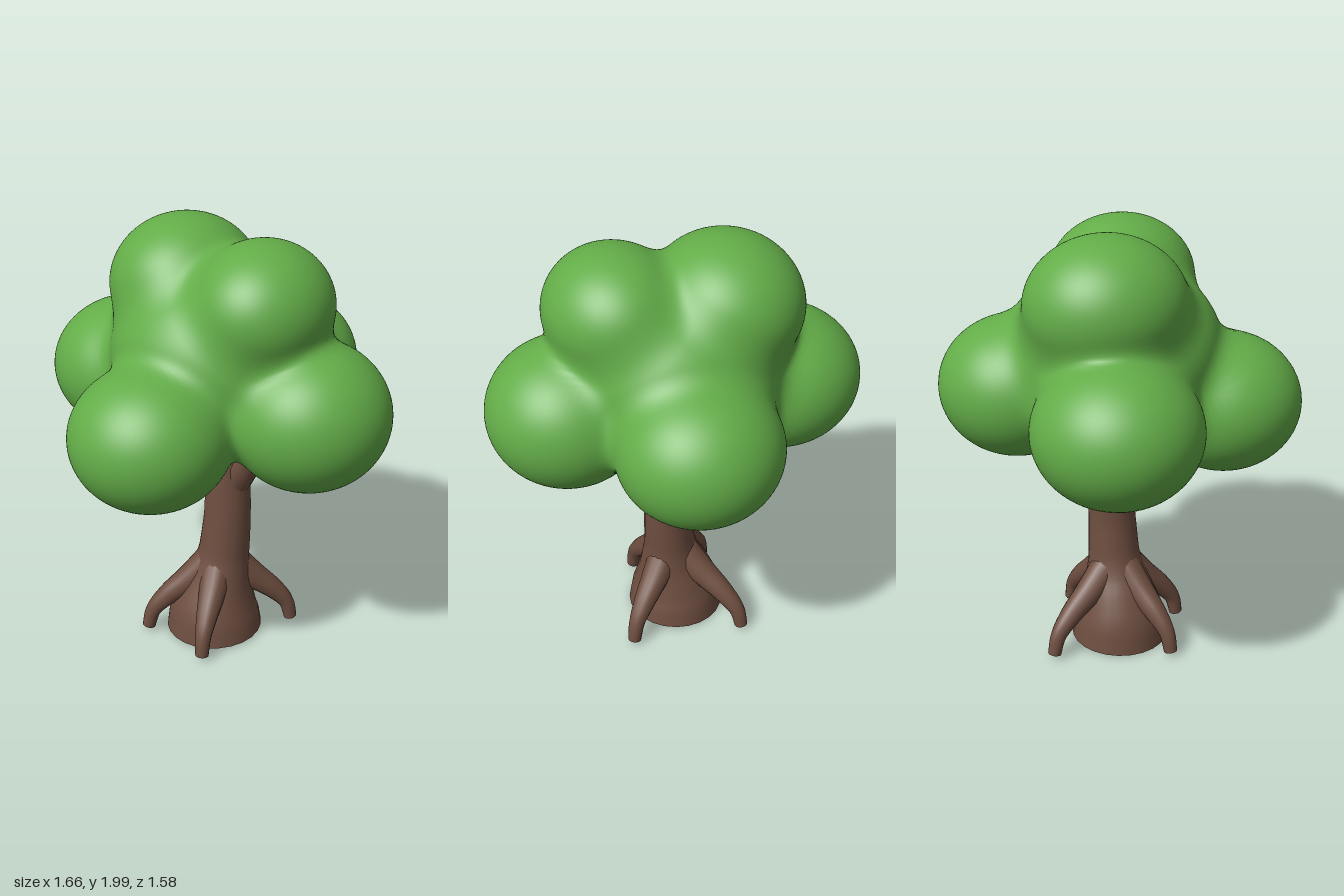
import * as THREE from 'three';
import { mergeVertices, toCreasedNormals } from 'three/addons/utils/BufferGeometryUtils.js';

const bark = new THREE.MeshStandardMaterial({ color: 0x6e4e40 });
bark.name = 'bark brown';
const leaf = new THREE.MeshStandardMaterial({ color: 0x63ac48 });
leaf.name = 'leaf green';

const V = (x, y, z) => new THREE.Vector3(x, y, z);

// Closed tapered limb through stations [x, y, z, radius]
function limb(name, stations, segments = 16, sides = 14) {
  const curve = new THREE.CatmullRomCurve3(stations.map(s => V(s[0], s[1], s[2])));
  const geo = new THREE.TubeGeometry(curve, segments, 1, sides, false);
  const pos = geo.attributes.position, v = V(0, 0, 0);
  const radiusAt = t => {
    const f = t * (stations.length - 1), i = Math.min(Math.floor(f), stations.length - 2);
    return THREE.MathUtils.lerp(stations[i][3], stations[i + 1][3], f - i);
  };
  for (let i = 0; i <= segments; i++) {
    const centre = curve.getPointAt(i / segments);
    // the outer rings close to a point, their neighbours sit just inside the ends
    let u = i / segments;
    if (i === 1) u = 0.004;
    if (i === segments - 1) u = 0.996;
    const r = i === 0 || i === segments ? 0 : radiusAt(curve.getUtoTmapping(u));
    const target = curve.getPointAt(u);
    for (let j = 0; j <= sides; j++) {
      const k = i * (sides + 1) + j;
      v.fromBufferAttribute(pos, k).sub(centre).multiplyScalar(r).add(target);
      pos.setXYZ(k, v.x, v.y, v.z);
    }
  }
  geo.deleteAttribute('uv');
  geo.deleteAttribute('normal');
  const mesh = new THREE.Mesh(toCreasedNormals(mergeVertices(geo, 1e-5), 0.9), bark);
  mesh.name = name;
  return mesh;
}

// Leaf masses: centre, then radii; the first is the core
const masses = [
  [0.02, 1.43, -0.03, 0.48, 0.42, 0.48],
  [-0.46, 1.255, -0.13, 0.37, 0.315, 0.36],
  [-0.09, 1.2, 0.44, 0.35, 0.31, 0.35],
  [0.475, 1.265, 0.09, 0.355, 0.325, 0.355],
  [0.145, 1.27, -0.44, 0.355, 0.315, 0.35],
  [-0.18, 1.7, -0.11, 0.33, 0.3, 0.35],
  [0.25, 1.7, 0.06, 0.3, 0.28, 0.33],
];

// Distance to the softly blended masses
function crownDistance(p) {
  const blend = 0.07;
  let d = Infinity;
  for (const [x, y, z, a, b, c] of masses) {
    const k = Math.hypot((p.x - x) / a, (p.y - y) / b, (p.z - z) / c);
    const e = (k - 1) * Math.min(a, b, c);
    const h = Math.max(blend - Math.abs(d - e), 0) / blend;
    d = Math.min(d, e) - (h > 0 ? h * h * blend * 0.25 : 0);
  }
  return d;
}

// Crown: a sphere whose vertices are drawn out to the blended surface
function crown() {
  let geo = new THREE.IcosahedronGeometry(1, 34);
  geo.deleteAttribute('uv');
  geo.deleteAttribute('normal');
  geo = mergeVertices(geo, 1e-5);
  const pos = geo.attributes.position, centre = V(0.02, 1.43, -0.03);
  const dir = V(0, 0, 0), p = V(0, 0, 0);
  for (let i = 0; i < pos.count; i++) {
    dir.fromBufferAttribute(pos, i).normalize();
    const dist = r => crownDistance(p.copy(centre).addScaledVector(dir, r));
    let out = 1.1;
    while (out > 0.1 && dist(out) > 0) out -= 0.02;
    let lo = out, hi = out + 0.02;
    for (let n = 0; n < 10; n++) {
      const mid = (lo + hi) / 2;
      if (dist(mid) > 0) hi = mid; else lo = mid;
    }
    p.copy(centre).addScaledVector(dir, lo);
    pos.setXYZ(i, p.x, p.y, p.z);
  }
  geo.computeVertexNormals();
  const mesh = new THREE.Mesh(geo, leaf);
  mesh.name = 'crown';
  return mesh;
}

export function createModel() {
  const tree = new THREE.Group();
  tree.name = 'tree';

  tree.add(limb('trunk', [
    [0, 0.01, -0.01, 0.228],
    [0, 0.12, -0.01, 0.212],
    [0.012, 0.22, -0.015, 0.178],
    [0.03, 0.32, -0.02, 0.143],
    [0.042, 0.42, -0.027, 0.12],
    [0.055, 0.6, -0.033, 0.11],
    [0.055, 0.8, -0.043, 0.104],
    [0.058, 0.93, -0.05, 0.1],
    [0.06, 1.05, -0.05, 0.08],
  ], 32, 24));

  // Branches forking into the crown
  const tips = [[0.27, 1.1, 0.01], [-0.16, 1.03, -0.1], [0.1, 1.12, -0.1]];
  const branches = new THREE.Group();
  branches.name = 'branches';
  for (const [x, y, z] of tips) {
    branches.add(limb('branch', [
      [0.055, 0.74, -0.045, 0.08],
      [0.055 + (x - 0.055) * 0.35, 0.88, -0.045 + (z + 0.045) * 0.35, 0.075],
      [x, y, z, 0.048],
    ]));
  }
  tree.add(branches);

  // Roots arching outwards, then down to the ground
  const feet = [[0.07, 0.29], [0.33, -0.18], [-0.265, 0.17], [-0.16, -0.36]];
  const roots = new THREE.Group();
  roots.name = 'roots';
  for (const [x, z] of feet) {
    const at = (f, y, r) => [0.03 + (x - 0.03) * f, y, -0.02 + (z + 0.02) * f, r];
    roots.add(limb('root', [
      at(0.14, 0.38, 0.075),
      at(0.42, 0.285, 0.066),
      at(0.74, 0.195, 0.05),
      at(0.93, 0.12, 0.037),
      at(1, 0.03, 0.031),
    ], 20));
  }
  tree.add(roots);

  tree.add(crown());
  return tree;
}
